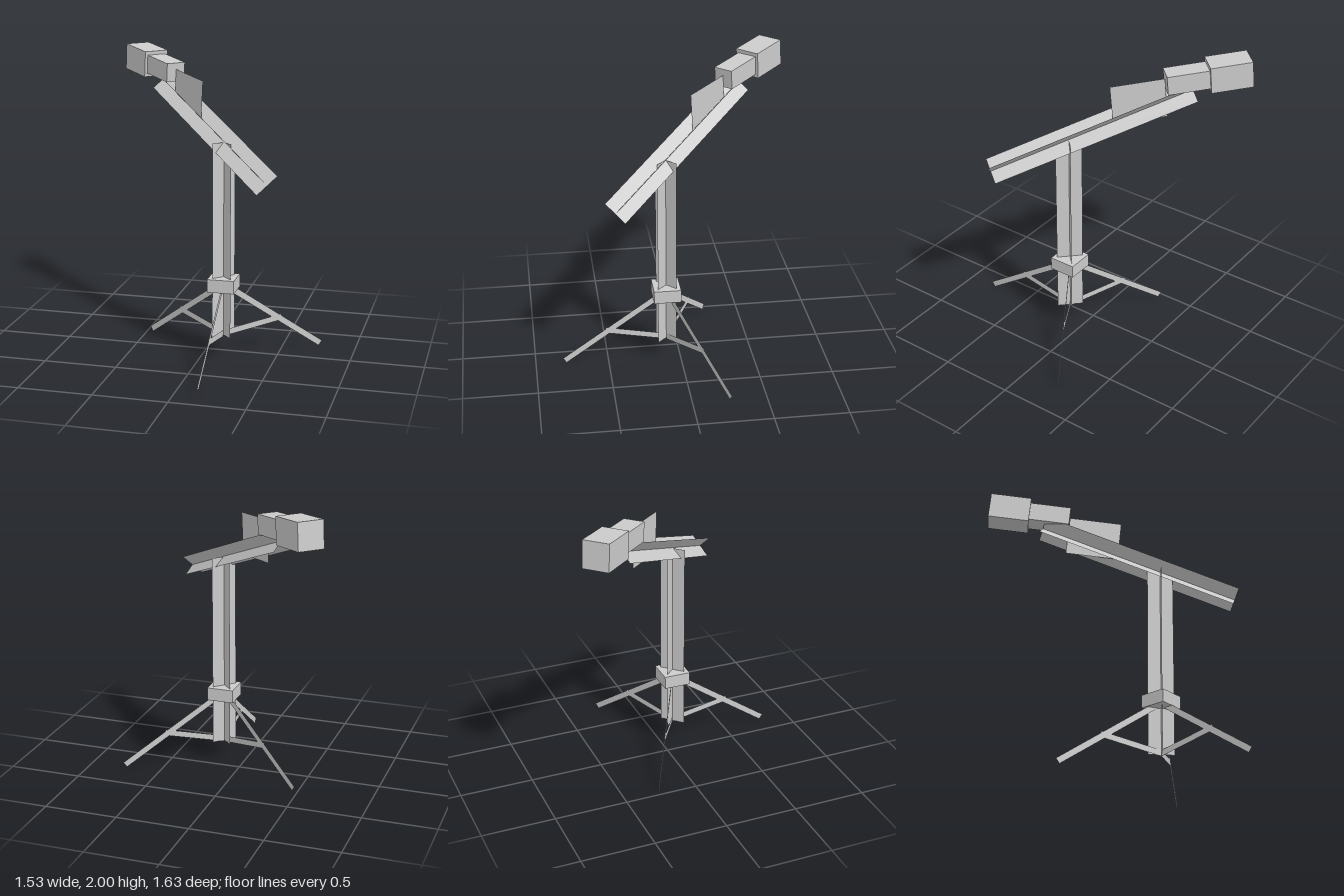
import * as THREE from 'three';

const rad = THREE.MathUtils.degToRad;
const solid = new THREE.MeshStandardMaterial({ color: 0xcccccc, flatShading: true });
const sheet = new THREE.MeshStandardMaterial({ color: 0xcccccc, flatShading: true, side: THREE.DoubleSide });

function add(parent, name, geometry, material, x, y, tilt = 0) {
  const mesh = new THREE.Mesh(geometry, material);
  mesh.name = name;
  mesh.position.set(x, y, 0);
  mesh.rotation.z = tilt;
  parent.add(mesh);
  return mesh;
}

// Flat strip in the local XY plane, running from (x1, y1) to (x2, y2)
function strip(parent, name, x1, y1, x2, y2, width) {
  const length = Math.hypot(x2 - x1, y2 - y1);
  return add(parent, name, new THREE.PlaneGeometry(length, width), sheet,
    (x1 + x2) / 2, (y1 + y2) / 2, Math.atan2(y2 - y1, x2 - x1));
}

export function createModel() {
  const model = new THREE.Group();
  model.name = 'tripodTelescope';
  const stand = new THREE.Group();
  stand.name = 'stand';
  stand.position.set(0.142, 0, 0.096);
  model.add(stand);

  // Collar joining the legs to the post
  add(stand, 'collar', new THREE.BoxGeometry(0.184, 0.09, 0.184), solid, 0, 0.515);

  // Three flat legs, each with a strut back to the post
  [-90, 30, 150].forEach((angle) => {
    const leg = new THREE.Group();
    leg.name = 'leg';
    leg.rotation.y = rad(angle);
    strip(leg, 'legBar', 0.04, 0.483, 0.705, 0.0172, 0.042);
    strip(leg, 'legStrut', 0, 0.157, 0.42, 0.237, 0.042);
    stand.add(leg);
  });

  // Everything above is turned diagonally, local +x being the low end
  const turned = new THREE.Group();
  turned.name = 'turnedAssembly';
  turned.rotation.y = rad(-45);
  stand.add(turned);

  // Post: two crossed upright sheets
  [0, 90].forEach((angle) => {
    const post = add(turned, 'post', new THREE.PlaneGeometry(0.177, 1.338), sheet, 0, 0.814);
    post.rotation.y = rad(angle);
  });

  // Sloping beam: two crossed sheets in an X section
  const beam = new THREE.Group();
  beam.name = 'beam';
  beam.position.set(-0.15, 1.5425, 0);
  beam.rotation.z = rad(-20.3);
  [45, -45].forEach((angle) => {
    const side = add(beam, 'beamSheet', new THREE.PlaneGeometry(1.425, 0.18), sheet, 0, 0);
    side.rotation.x = rad(angle);
  });
  turned.add(beam);

  // Head: large and small housing with a thin plate in front
  const tilt = rad(-5);
  add(turned, 'largeHousing', new THREE.BoxGeometry(0.28, 0.18, 0.177), solid, -1.053, 1.899, tilt);
  add(turned, 'smallHousing', new THREE.BoxGeometry(0.28, 0.13, 0.138), solid, -0.774, 1.874, tilt);
  add(turned, 'plate', new THREE.PlaneGeometry(0.362, 0.28), sheet, -0.462, 1.728, tilt);

  return model;
}
